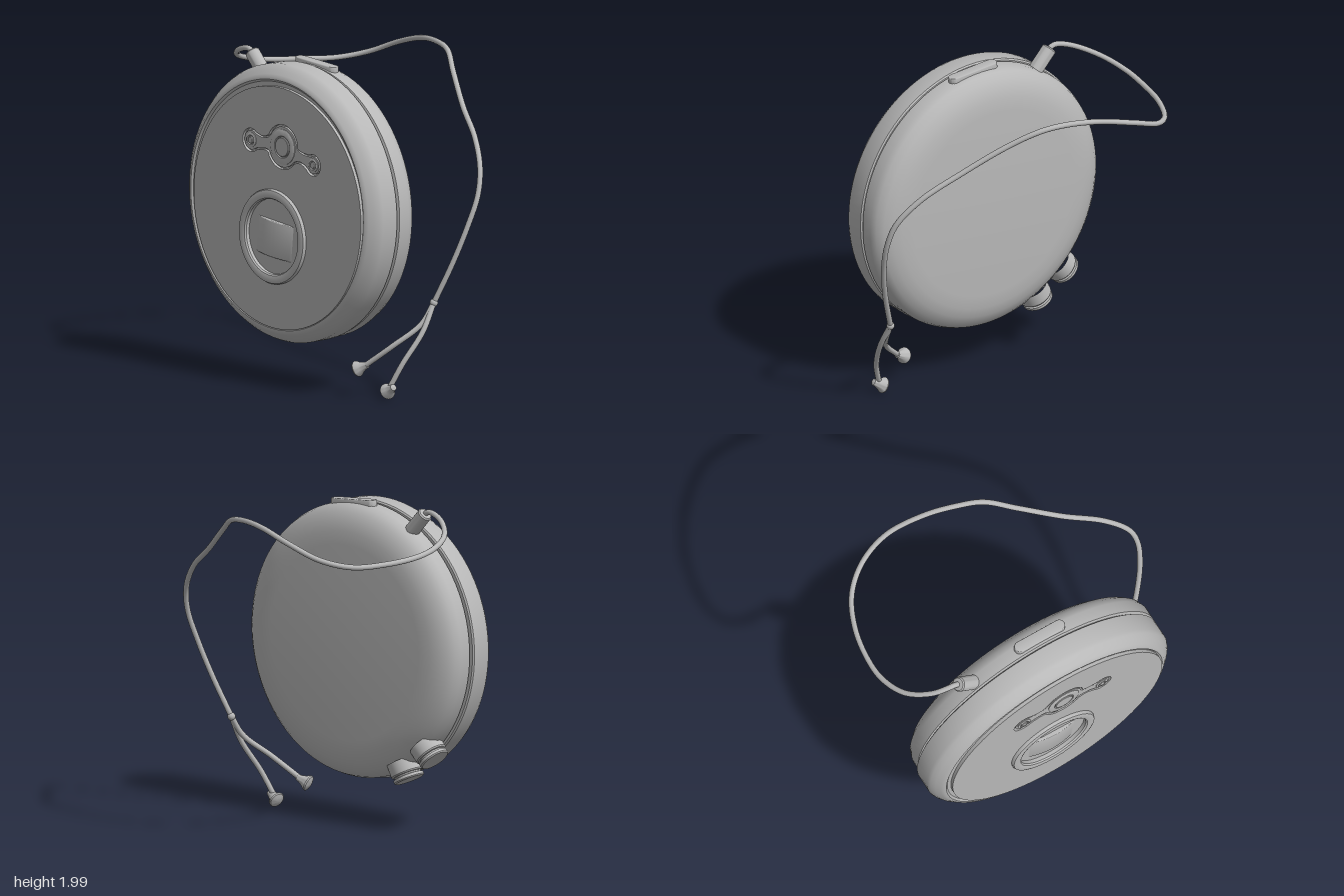
import * as THREE from 'three';
import { toCreasedNormals } from 'three/addons/utils/BufferGeometryUtils.js';

const V = (x, y, z) => new THREE.Vector3(x, y, z);
const UP = V(0, 1, 0);
const rad = THREE.MathUtils.degToRad;

export function createModel() {
  const model = new THREE.Group();
  const grey = new THREE.MeshStandardMaterial({ color: 0xb8b8b8 });
  grey.name = 'plain grey';

  function add(name, geometry, x = 0, y = 0, z = 0, parent = model) {
    const mesh = new THREE.Mesh(geometry, grey);
    mesh.name = name;
    mesh.position.set(x, y, z);
    parent.add(mesh);
    return mesh;
  }
  const lathe = (points, segments = 96) => toCreasedNormals(
    new THREE.LatheGeometry(points.map(p => new THREE.Vector2(...p)), segments), 0.6);
  // Turned part whose axis faces the front
  const turned = (points, segments) => lathe(points, segments).rotateX(Math.PI / 2);
  const plate = (shape, depth, bevel = 0) => toCreasedNormals(new THREE.ExtrudeGeometry(shape, {
    depth, curveSegments: 40, bevelEnabled: bevel > 0, bevelSize: bevel,
    bevelThickness: bevel, bevelOffset: -bevel, bevelSegments: 3,
  }), 0.6);
  const circle = (x, y, r, Type = THREE.Shape) => new Type().absarc(x, y, r, 0, Math.PI * 2);

  // Two halves of the round case
  const CX = -0.08, CY = 1.13;
  add('backCase', turned([[0, 0.24], [0.6, 0.24], [0.68, 0.246], [0.74, 0.262], [0.79, 0.287],
    [0.825, 0.32], [0.84, 0.36], [0.84, 0.435], [0.82, 0.442], [0.815, 0.46]]), -0.07, CY);
  add('frontLid', turned([[0.7, 0.45], [0.84, 0.45], [0.85, 0.457], [0.85, 0.57], [0.84, 0.592],
    [0.82, 0.618], [0.795, 0.64], [0.78, 0.653], [0.765, 0.655], [0.752, 0.645], [0, 0.645]]), CX, CY);

  // Outline of the control panel: three discs joined by curved necks
  const discs = [[-0.3, 1.5, 0.072], [-0.02, 1.495, 0.137], [0.25, 1.42, 0.066]];
  function panelOutline(inset, Type) {
    const [l, c, r] = discs.map(([x, y, R]) => ({ x, y, R: R - inset }));
    const path = new Type();
    const arc = (d, a, b) => path.absarc(d.x, d.y, d.R, rad(a), rad(b), false);
    const neck = (from, to, side, a) => path.quadraticCurveTo(
      from.x + (to.x - from.x) * 0.5 + (c === from ? 0.02 : -0.02) * Math.sign(to.x - from.x) * (to === c ? -1 : 1),
      (from.y + to.y) / 2 + side * (0.024 - inset),
      to.x + to.R * Math.cos(rad(a)), to.y + to.R * Math.sin(rad(a)));
    arc(l, 50, 310);
    neck(l, c, -1, 208);
    arc(c, 208, 317);
    neck(c, r, -1, -145);
    arc(r, -145, 115);
    neck(r, c, 1, 13);
    arc(c, 13, 152);
    neck(c, l, 1, 50);
    return path;
  }

  // Face disc with openings for the panel and the dial
  const DX = -0.1, DY = 0.935;
  const face = circle(-0.065, 1.115, 0.742);
  face.holes.push(circle(DX, DY, 0.26, THREE.Path), panelOutline(0, THREE.Path));
  add('faceDisc', plate(face, 0.025), 0, 0, 0.641);

  // Control panel and its round buttons
  const controls = new THREE.Group();
  controls.name = 'controls';
  model.add(controls);
  add('controlPanel', plate(panelOutline(0.013, THREE.Shape), 0.022), 0, 0, 0.641, controls);
  for (const [x, y, R] of discs) {
    const big = R > 0.1;
    const ring = big ? 0.108 : R * 0.62, knob = big ? 0.06 : R * 0.3;
    add('buttonRing', turned([[ring, 0], [ring, 0.007], [ring - 0.006, 0.01], [knob + 0.008, 0.01],
      [knob + 0.004, 0.003], [knob, 0.003], [knob, 0.01], [knob - 0.004, 0.013], [0, 0.013]], 48),
      x, y, 0.66, controls);
  }

  // Raised dial ring with a curved grip inside
  add('dialRing', turned([[0.29, 0.64], [0.29, 0.676], [0.284, 0.686], [0.272, 0.69], [0.25, 0.69],
    [0.237, 0.686], [0.23, 0.676], [0.23, 0.645]], 72), DX, DY);
  add('dialFloor', turned([[0.232, 0.645], [0.232, 0.653], [0, 0.653]], 72), DX, DY);
  const grip = new THREE.Shape();
  grip.moveTo(-0.155, 0);
  grip.lineTo(0.155, 0);
  grip.quadraticCurveTo(0, -0.05, -0.155, 0);
  const gripGeo = plate(grip, 0.21, 0.006).translate(0, 0, -0.105).rotateX(-Math.PI / 2);
  add('dialGrip', gripGeo, DX, DY - 0.015, 0.653).rotation.z = rad(-6);

  // Stepped round buttons low on the rim
  for (const angle of [227, 243]) {
    const a = rad(angle);
    const dir = V(Math.cos(a), Math.sin(a), 0);
    const button = add('rimButton', lathe([[0.1, 0.78], [0.1, 0.858], [0.094, 0.866], [0.083, 0.868],
      [0.083, 0.876], [0.095, 0.88], [0.095, 0.897], [0.088, 0.904], [0, 0.906]], 40), CX, CY, 0.36);
    button.quaternion.setFromUnitVectors(UP, dir);
  }

  // Long slide button on the top of the rim
  const slot = new THREE.Shape();
  slot.absarc(0.14, 0, 0.035, -Math.PI / 2, Math.PI / 2);
  slot.absarc(-0.14, 0, 0.035, Math.PI / 2, Math.PI * 1.5);
  const slide = add('topSlider', plate(slot, 0.045, 0.006).rotateX(-Math.PI / 2), -0.02, 1.935, 0.385);
  slide.rotation.z = rad(-4);

  // Plug on the upper rim
  const plug = add('plug', lathe([[0.045, -0.09], [0.045, 0.06], [0.038, 0.068], [0.022, 0.07], [0, 0.07]], 32),
    -0.55, 1.915, 0.385);
  plug.quaternion.setFromUnitVectors(UP, V(-0.68, 0.73, 0).normalize());

  // Cord and its two branches
  const cord = (name, points, segments) => add(name, new THREE.TubeGeometry(
    new THREE.CatmullRomCurve3(points.map(p => V(...p))), segments, 0.017, 12));
  const split = [0.77, 0.585, 0.155];
  cord('cord', [[-0.575, 1.945, 0.385], [-0.615, 1.976, 0.383], [-0.66, 1.976, 0.378], [-0.76, 1.945, 0.345],
    [-0.88, 1.885, 0.24], [-0.94, 1.835, 0.08], [-0.943, 1.805, -0.08], [-0.9, 1.787, -0.3],
    [-0.8, 1.783, -0.5], [-0.65, 1.825, -0.625], [-0.45, 1.905, -0.677], [-0.2, 1.97, -0.643],
    [0, 1.982, -0.585], [0.15, 1.96, -0.53], [0.32, 1.865, -0.42], [0.56, 1.7, -0.28], [0.78, 1.55, -0.175],
    [0.91, 1.39, -0.095], [0.943, 1.24, -0.045], [0.92, 1.05, 0.02], [0.86, 0.83, 0.085], split], 200);
  add('cordJoint', new THREE.SphereGeometry(0.025, 20, 12), ...split);
  cord('cordBranchA', [split, [0.745, 0.46, 0.235], [0.64, 0.33, 0.37], [0.49, 0.2, 0.46]], 48);
  cord('cordBranchB', [split, [0.775, 0.42, 0.25], [0.72, 0.23, 0.365], [0.665, 0.09, 0.415]], 48);

  // Flared earpieces at the ends of the branches
  const earpieces = [
    { at: [0.49, 0.2, 0.455], dir: [-0.85, -0.4, 0.25] },
    { at: [0.69, 0.085, 0.42], dir: [-0.85, -0.45, -0.15] },
  ];
  for (const { at, dir } of earpieces) {
    const piece = add('earpiece', lathe([[0, -0.02], [0.02, -0.012], [0.024, 0.01], [0.034, 0.036],
      [0.048, 0.056], [0.05, 0.064], [0.046, 0.072], [0.025, 0.08], [0, 0.083]], 32), ...at);
    piece.quaternion.setFromUnitVectors(UP, V(...dir).normalize());
  }
  return model;
}
